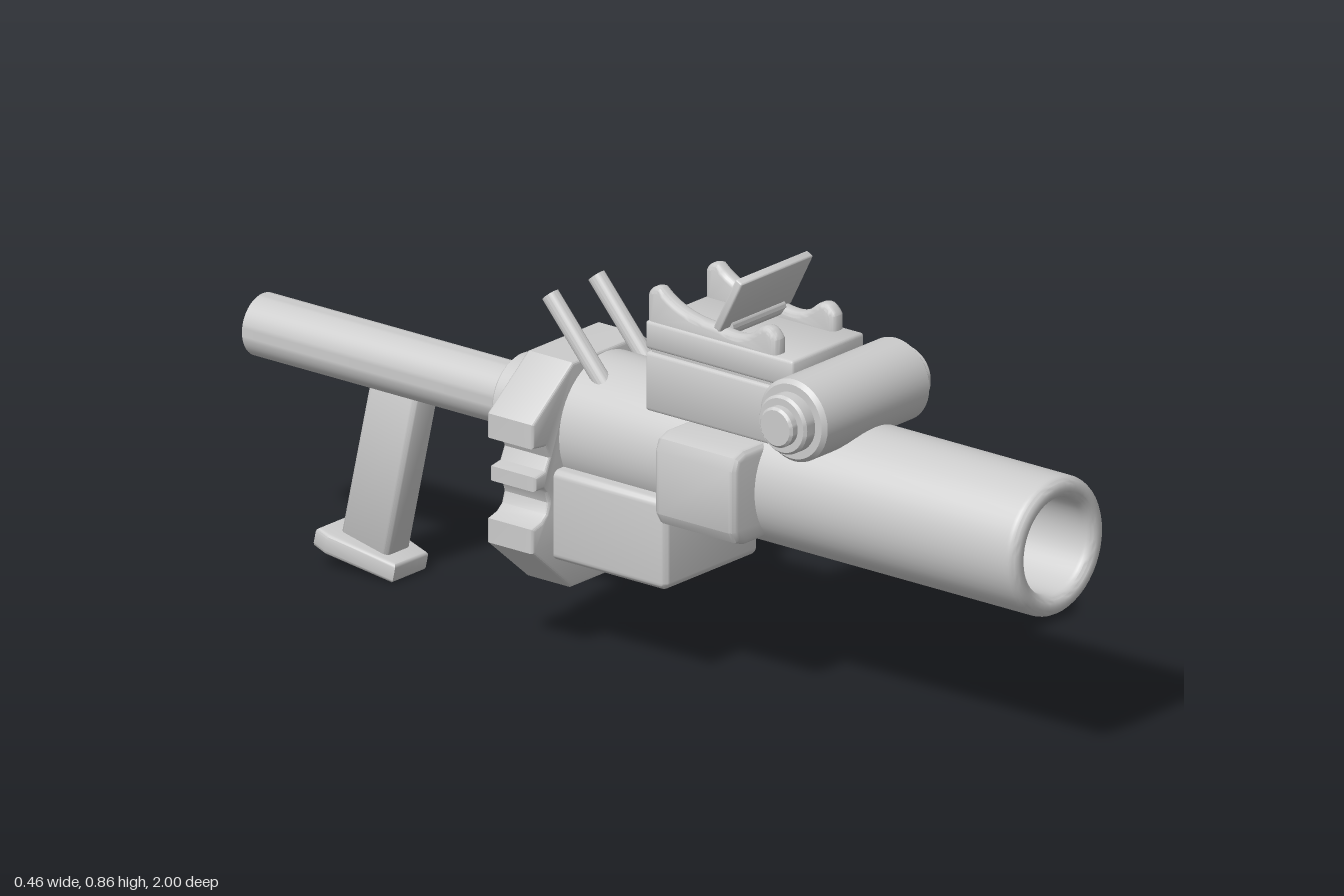
import * as THREE from 'three';
import { toCreasedNormals } from 'three/addons/utils/BufferGeometryUtils.js';
import { RoundedBoxGeometry } from 'three/addons/geometries/RoundedBoxGeometry.js';

const AXIS_X = -0.007; // the barrel line sits slightly off centre
const AXIS_Y = 0.445;

export function createModel() {
  const model = new THREE.Group();
  const grey = new THREE.MeshStandardMaterial({ color: 0xcccccc });

  const add = (name, geometry, parent = model) => {
    const mesh = new THREE.Mesh(toCreasedNormals(geometry, 0.6), grey);
    mesh.name = name;
    parent.add(mesh);
    return mesh;
  };

  // Rounded box given by its lower and upper corners
  const box = (name, lo, hi, radius, parent) => {
    const size = hi.map((v, i) => v - lo[i]);
    const mesh = add(name, new RoundedBoxGeometry(...size, 3, radius), parent);
    mesh.position.set(...hi.map((v, i) => (v + lo[i]) / 2));
    return mesh;
  };

  // Outline extruded between two depths; the bevel stays inside the outline
  const slab = (shape, from, to, bevel) => {
    const g = new THREE.ExtrudeGeometry(shape, {
      depth: to - from - 2 * bevel, bevelEnabled: bevel > 0, bevelThickness: bevel,
      bevelSize: bevel, bevelOffset: -bevel, bevelSegments: 3, curveSegments: 10,
    });
    return g.translate(0, 0, from + bevel);
  };
  const outline = (pts) => new THREE.Shape(pts.map(([x, y]) => new THREE.Vector2(x, y)));

  // Solid turned around the barrel line; profile of [radius, z]
  const turnedZ = (name, profile) => {
    const g = new THREE.LatheGeometry(profile.map(([r, z]) => new THREE.Vector2(r, z)), 48);
    const mesh = add(name, g.rotateX(Math.PI / 2));
    mesh.position.set(AXIS_X, AXIS_Y, 0);
  };

  // Launch tube with a round lip and a deep bore
  const lip = [];
  for (let i = 0; i <= 10; i++) {
    const a = (i / 10) * Math.PI;
    lip.push([0.119 + 0.022 * Math.cos(a), 0.978 + 0.022 * Math.sin(a)]);
  }
  turnedZ('launchTube', [[0, -0.16], [0.141, -0.16], ...lip, [0.097, 0.42], [0, 0.42]]);
  // Stepped rear tube
  turnedZ('rearCollar', [[0, -0.355], [0.084, -0.355], [0.09, -0.349], [0.09, -0.2], [0, -0.2]]);
  turnedZ('rearTube', [[0, -1], [0.063, -1], [0.063, -0.3], [0, -0.3]]);

  // Notched rear plate, right half of the outline mirrored to the left
  const half = [
    [0.11, 0.13], [0.228, 0.23], [0.228, 0.28], [0.2, 0.288], [0.185, 0.3], [0.178, 0.322],
    [0.185, 0.345], [0.195, 0.355], [0.22, 0.355], [0.22, 0.385], [0.19, 0.39],
    [0.178, 0.415], [0.19, 0.44], [0.228, 0.445], [0.228, 0.495], [0.105, 0.59],
  ];
  const mirrored = half.map(([x, y]) => [-x, y]).reverse();
  add('rearPlate', slab(outline([...half, ...mirrored]), -0.255, -0.14, 0.006));

  // Lower housing and side blocks
  box('lowerHousing', [-0.165, 0.2, -0.16], [0.12, 0.385, 0.14], 0.015);
  add('sideBlocks', slab(outline([
    [-0.172, 0.346], [0.165, 0.346], [0.186, 0.355], [0.198, 0.378], [0.198, 0.505],
    [0.188, 0.53], [0.165, 0.54], [-0.175, 0.54], [-0.2, 0.53], [-0.21, 0.505],
    [-0.21, 0.378], [-0.196, 0.355],
  ]), 0.147, 0.35, 0.014));

  // Sight drum with stepped ends
  const drumHalf = [[0, 0.212], [0.036, 0.212], [0.041, 0.207], [0.041, 0.193], [0.055, 0.193],
    [0.06, 0.187], [0.06, 0.163], [0.076, 0.163], [0.084, 0.154]];
  const drumProfile = [
    ...drumHalf.map(([r, y]) => new THREE.Vector2(r, -y)),
    ...drumHalf.map(([r, y]) => new THREE.Vector2(r, y)).reverse(),
  ];
  const drum = add('sightDrum', new THREE.LatheGeometry(drumProfile, 40).rotateZ(Math.PI / 2));
  drum.position.set(-0.01, 0.627, 0.463);

  // Sight base: two layers with a narrow groove between them
  box('sightBaseLower', [-0.117, 0.54, 0.05], [0.1, 0.66, 0.42], 0.006);
  box('sightBaseGroove', [-0.109, 0.64, 0.058], [0.092, 0.69, 0.4], 0.004);
  box('sightBaseUpper', [-0.117, 0.667, 0.05], [0.1, 0.724, 0.42], 0.006);

  // Scooped rails on the sight base, profile drawn in (-z, y)
  const rail = new THREE.Shape();
  rail.moveTo(-0.375, 0.71);
  rail.lineTo(-0.05, 0.71);
  rail.lineTo(-0.05, 0.775);
  rail.quadraticCurveTo(-0.055, 0.797, -0.08, 0.795);
  rail.bezierCurveTo(-0.12, 0.76, -0.17, 0.75, -0.22, 0.75);
  rail.bezierCurveTo(-0.28, 0.735, -0.3, 0.745, -0.325, 0.768);
  rail.quadraticCurveTo(-0.355, 0.79, -0.375, 0.755);
  rail.closePath();
  for (const x of [-0.113, 0.062]) {
    add('sightRail', slab(rail, x, x + 0.035, 0.012).rotateY(Math.PI / 2));
  }

  // Flip-up plate and its hinge bar
  const hinge = add('hingeBar', new THREE.CylinderGeometry(0.018, 0.018, 0.16, 16).rotateZ(Math.PI / 2));
  hinge.position.set(-0.008, 0.744, 0.23);
  const flip = new THREE.Group();
  flip.name = 'flipPlate';
  flip.position.set(-0.008, 0.745, 0.228);
  flip.rotation.x = 0.47;
  box('flipPanel', [-0.109, 0, -0.009], [0.109, 0.125, 0.009], 0.004, flip);
  model.add(flip);

  // Slanted rods behind the sight
  const bottom = new THREE.Vector3(0, 0.55, -0.085);
  const top = new THREE.Vector3(0, 0.704, -0.221);
  const rodDir = top.clone().sub(bottom);
  for (const x of [-0.077, 0.063]) {
    const rod = add('slantedRod', new THREE.CylinderGeometry(0.018, 0.018, rodDir.length(), 18));
    rod.position.copy(bottom).add(top).multiplyScalar(0.5).setX(x);
    rod.quaternion.setFromUnitVectors(new THREE.Vector3(0, 1, 0), rodDir.clone().normalize());
  }

  // Tilted rear grip with a tapered foot
  const grip = new THREE.Group();
  grip.name = 'rearGrip';
  grip.position.set(0.01, 0.021, -0.74);
  grip.rotation.x = 0.217;
  box('gripPost', [-0.037, 0.02, -0.06], [0.037, 0.405, 0.06], 0.012, grip);
  const foot = outline([[-0.05, -0.094], [0.05, -0.094], [0.075, 0.06], [0.068, 0.094],
    [-0.068, 0.094], [-0.075, 0.06]]);
  add('gripFoot', slab(foot, 0, 0.042, 0.008).rotateX(-Math.PI / 2), grip);
  model.add(grip);

  return model;
}
